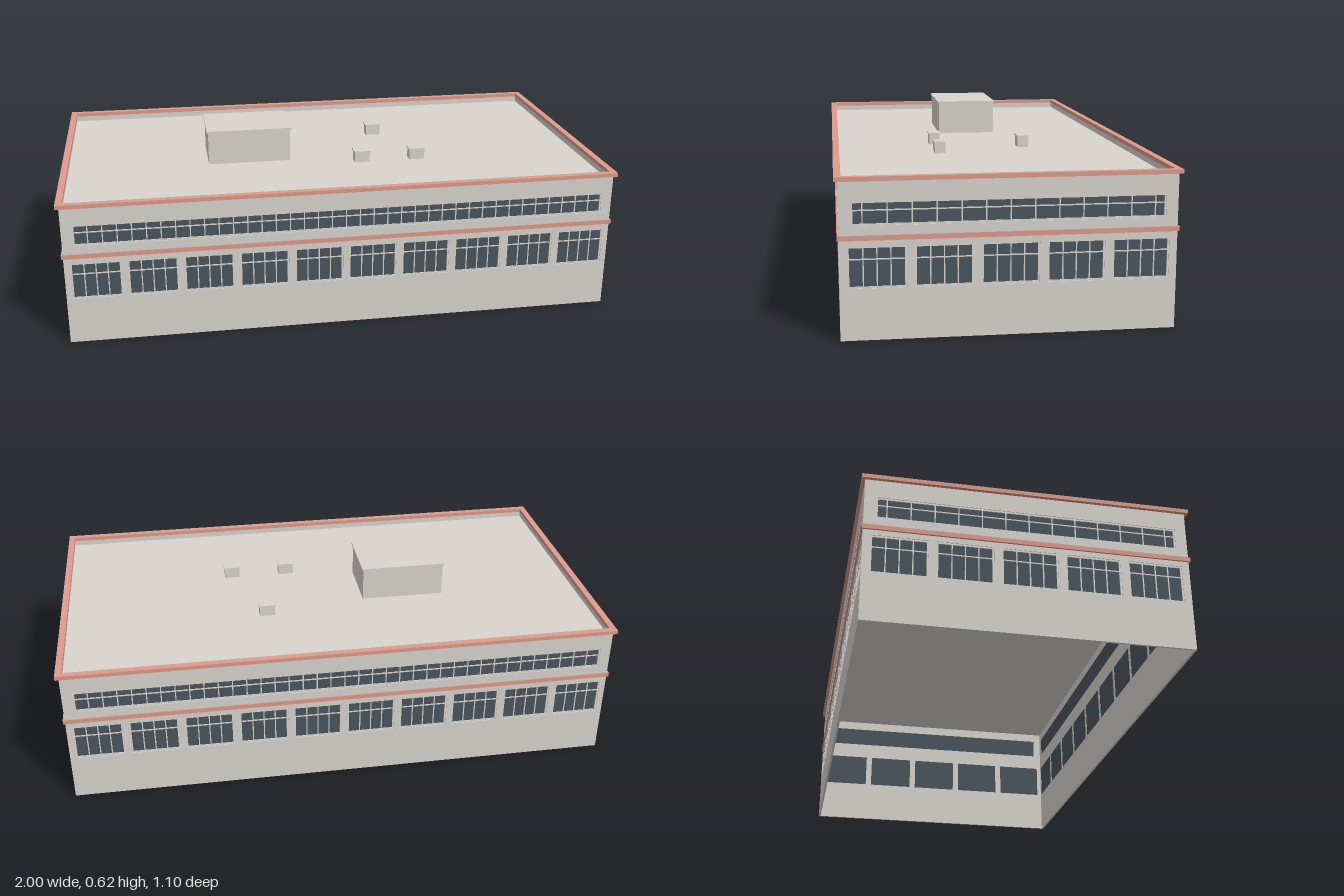
import * as THREE from 'three';

const mat = (name, color) => Object.assign(new THREE.MeshStandardMaterial({ color }), { name });

export function createModel() {
  const wallMat = mat('warm grey plaster', 0xd9d4ce);
  const trimMat = mat('terracotta trim', 0xdc9b8d);
  const glassMat = mat('dark glass', 0x4b555e);
  const frameMat = mat('light frame', 0xdad6d0);

  const W = 1.976, D = 1.076, H = 0.51, T = 0.008, ROOF = 0.487;
  const model = new THREE.Group();
  model.name = 'building';

  const box = (parent, name, m, w, h, d, x, y, z) => {
    const mesh = new THREE.Mesh(new THREE.BoxGeometry(w, h, d), m);
    mesh.position.set(x, y, z);
    mesh.name = name;
    parent.add(mesh);
    return mesh;
  };
  const rectPoints = (x0, y0, x1, y1) =>
    [[x0, y0], [x1, y0], [x1, y1], [x0, y1]].map(p => new THREE.Vector2(...p));
  const extrude = (shape, depth) =>
    new THREE.ExtrudeGeometry(shape, { depth, bevelEnabled: false });

  // Window, slightly recessed: glass pane, outer frame, vertical bars and one crossbar
  function addWindow(parent, name, { x, y0, y1, w, bars, crossY }) {
    const g = new THREE.Group();
    g.name = name;
    parent.add(g);
    const h = y1 - y0, cy = (y0 + y1) / 2, f = 0.006;
    box(g, 'glass', glassMat, w, h, 0.003, x, cy, -0.006);
    const ring = new THREE.Shape(rectPoints(x - w / 2, y0, x + w / 2, y1));
    ring.holes.push(new THREE.Path(rectPoints(x - w / 2 + f, y0 + f, x + w / 2 - f, y1 - f)));
    const frame = new THREE.Mesh(extrude(ring, 0.004), frameMat);
    frame.position.z = -0.006;
    frame.name = 'frame';
    g.add(frame);
    for (const bx of bars) box(g, 'verticalBar', frameMat, 0.004, h - f, 0.003, x + bx, cy, -0.0035);
    box(g, 'crossbar', frameMat, w - f, 0.004, 0.003, x, crossY, -0.0035);
  }

  // One facade: wall with openings, a row of ground windows and a long upper strip
  function addFacade(name, wallWidth, offset, angle, row, strip) {
    const g = new THREE.Group();
    g.name = name;
    const windows = [];
    for (let i = 0; i < row.count; i++) {
      windows.push({
        x: (i - (row.count - 1) / 2) * row.pitch, y0: 0.168, y1: 0.303, w: row.w,
        bars: [-1, 0, 1].map(k => k * (row.w - 0.012) / 4), crossY: 0.261,
      });
    }
    const bars = [];
    for (let i = 0; i < strip.bars; i++) bars.push((i - (strip.bars - 1) / 2) * strip.pitch);
    windows.push({ x: 0, y0: 0.368, y1: 0.445, w: strip.w, bars, crossY: 0.416 });

    const shape = new THREE.Shape(rectPoints(-wallWidth / 2, 0, wallWidth / 2, H));
    for (const o of windows) {
      shape.holes.push(new THREE.Path(rectPoints(o.x - o.w / 2, o.y0, o.x + o.w / 2, o.y1)));
    }
    const wall = new THREE.Mesh(extrude(shape, T), wallMat);
    wall.position.z = -T;
    wall.name = 'wall';
    g.add(wall);
    windows.forEach((o, i) => addWindow(g, i < row.count ? 'groundWindow' : 'upperStripWindow', o));

    g.rotation.y = angle;
    g.position.set(Math.sin(angle) * offset, 0, Math.cos(angle) * offset);
    model.add(g);
  }
  const longRow = { count: 10, pitch: 0.1955, w: 0.174 };
  const longStrip = { w: 1.9, bars: 37, pitch: 0.05 };
  const shortRow = { count: 5, pitch: 0.21, w: 0.185 };
  const shortStrip = { w: 0.998, bars: 13, pitch: 0.0773 };
  addFacade('frontFacade', W, D / 2, 0, longRow, longStrip);
  addFacade('backFacade', W, D / 2, Math.PI, longRow, longStrip);
  addFacade('leftFacade', D - 2 * T, W / 2, Math.PI / 2, shortRow, shortStrip);
  addFacade('rightFacade', D - 2 * T, W / 2, -Math.PI / 2, shortRow, shortStrip);

  // Terracotta rings around the building
  function addRing(name, halfW, halfD, inset, y0, y1) {
    const s = new THREE.Shape(rectPoints(-halfW, -halfD, halfW, halfD));
    s.holes.push(new THREE.Path(rectPoints(-halfW + inset, -halfD + inset, halfW - inset, halfD - inset)));
    const ring = new THREE.Mesh(extrude(s, y1 - y0), trimMat);
    ring.rotation.x = -Math.PI / 2;
    ring.position.y = y0;
    ring.name = name;
    model.add(ring);
  }
  addRing('parapetCap', 1, 0.549, 0.023, 0.509, 0.523);
  addRing('floorBand', 0.994, 0.543, 0.008, 0.322, 0.338);

  // Roof slab set below the parapet
  box(model, 'roof', wallMat, W - 2 * T, 0.006, D - 2 * T, 0, ROOF - 0.003, 0);

  // Rooftop boxes with slightly overhanging lids
  function addRoofBox(name, x, z, w, d, top, lid, overhang) {
    const g = new THREE.Group();
    g.name = name;
    const h = top - lid - ROOF;
    box(g, 'body', wallMat, w - 2 * overhang, h, d - 2 * overhang, x, ROOF + h / 2, z);
    box(g, 'lid', wallMat, w, lid, d, x, top - lid / 2, z);
    model.add(g);
  }
  addRoofBox('penthouse', -0.299, 0, 0.322, 0.234, 0.618, 0.007, 0.005);
  for (const [x, z] of [[0.127, 0.16], [0.236, -0.165], [0.342, 0.16]]) {
    addRoofBox('roofVent', x, z, 0.064, 0.045, 0.531, 0.005, 0.003);
  }
  return model;
}
